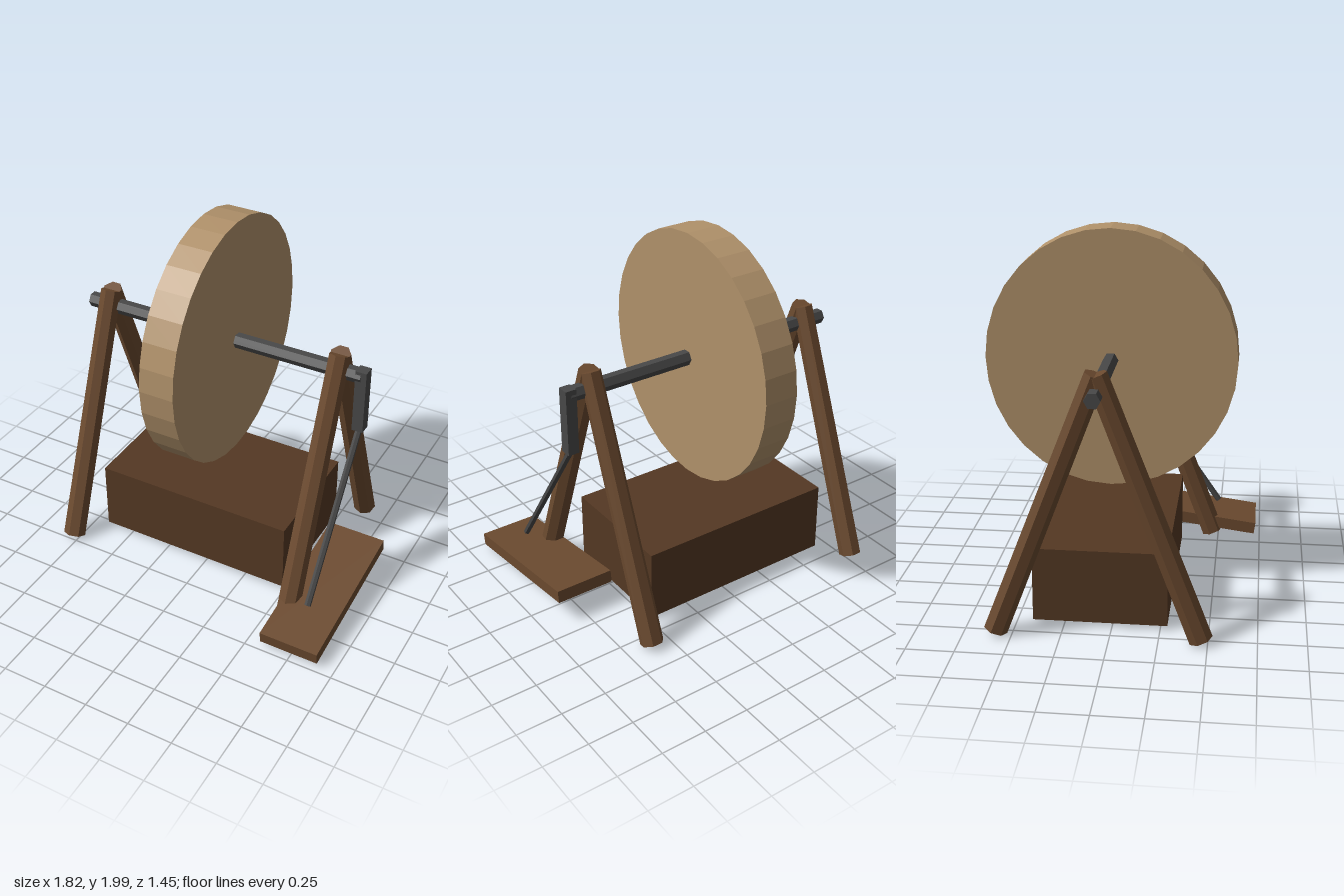
import * as THREE from 'three';

const paint = (color) => new THREE.MeshStandardMaterial({ color, flatShading: true });
const stone = paint(0xb0916a);
const wood = paint(0x6b4a2f);
const darkWood = paint(0x543823);
const iron = paint(0x484848);

const AXLE_Y = 1.307, AXLE_Z = -0.06;

function add(parent, name, geometry, material, x = 0, y = 0, z = 0) {
  const mesh = new THREE.Mesh(geometry, material);
  mesh.name = name;
  mesh.position.set(x, y, z);
  parent.add(mesh);
  return mesh;
}

// Faceted bar running from a (radius ra) to b (radius rb)
function bar(parent, name, a, b, ra, rb, sides, material) {
  const dir = b.clone().sub(a);
  const mesh = add(parent, name, new THREE.CylinderGeometry(rb, ra, dir.length(), sides), material);
  mesh.position.copy(a).add(b).multiplyScalar(0.5);
  mesh.quaternion.setFromUnitVectors(new THREE.Vector3(0, 1, 0), dir.normalize());
  return mesh;
}

export function createModel() {
  const group = new THREE.Group();
  group.name = 'grindstone';

  // Stone wheel, slightly taller than deep
  const disc = new THREE.CylinderGeometry(0.666, 0.666, 0.195, 32).rotateZ(Math.PI / 2).scale(1, 1.04, 1);
  add(group, 'wheel', disc, stone, -0.087, AXLE_Y, AXLE_Z);

  // Hexagonal axle through the wheel and both trestles
  const shaft = new THREE.CylinderGeometry(0.041, 0.041, 1.65, 6).rotateZ(Math.PI / 2).scale(1, 1.04, 1);
  add(group, 'axle', shaft, iron, -0.085, AXLE_Y, AXLE_Z);

  // A-shaped trestles: two leaning legs each
  for (const [side, x] of [['right', -0.78], ['left', 0.607]]) {
    const trestle = new THREE.Group();
    trestle.name = side + 'Trestle';
    for (const s of [1, -1]) {
      bar(trestle, s > 0 ? 'frontLeg' : 'backLeg',
        new THREE.Vector3(x, 0.03, AXLE_Z + s * 0.525),
        new THREE.Vector3(x, 1.4, AXLE_Z + s * 0.003),
        0.0635, 0.057, 7, wood);
    }
    group.add(trestle);
  }

  // Trough under the wheel
  add(group, 'trough', new THREE.BoxGeometry(1.15, 0.4, 0.7), darkWood, -0.085, 0.23, -0.063);

  // Crank arm and the rod down to the pedal
  add(group, 'crank', new THREE.BoxGeometry(0.062, 0.365, 0.066), iron, 0.74, 1.162, AXLE_Z - 0.003);
  bar(group, 'pedalRod',
    new THREE.Vector3(0.74, 0.178, 0.495), new THREE.Vector3(0.74, 0.98, -0.06),
    0.018, 0.018, 6, iron);

  // Sloping foot pedal
  const pedal = add(group, 'pedal', new THREE.BoxGeometry(0.33, 0.068, 0.872), wood, 0.74, 0.121, 0.288);
  pedal.rotation.x = 0.131;

  return group;
}
